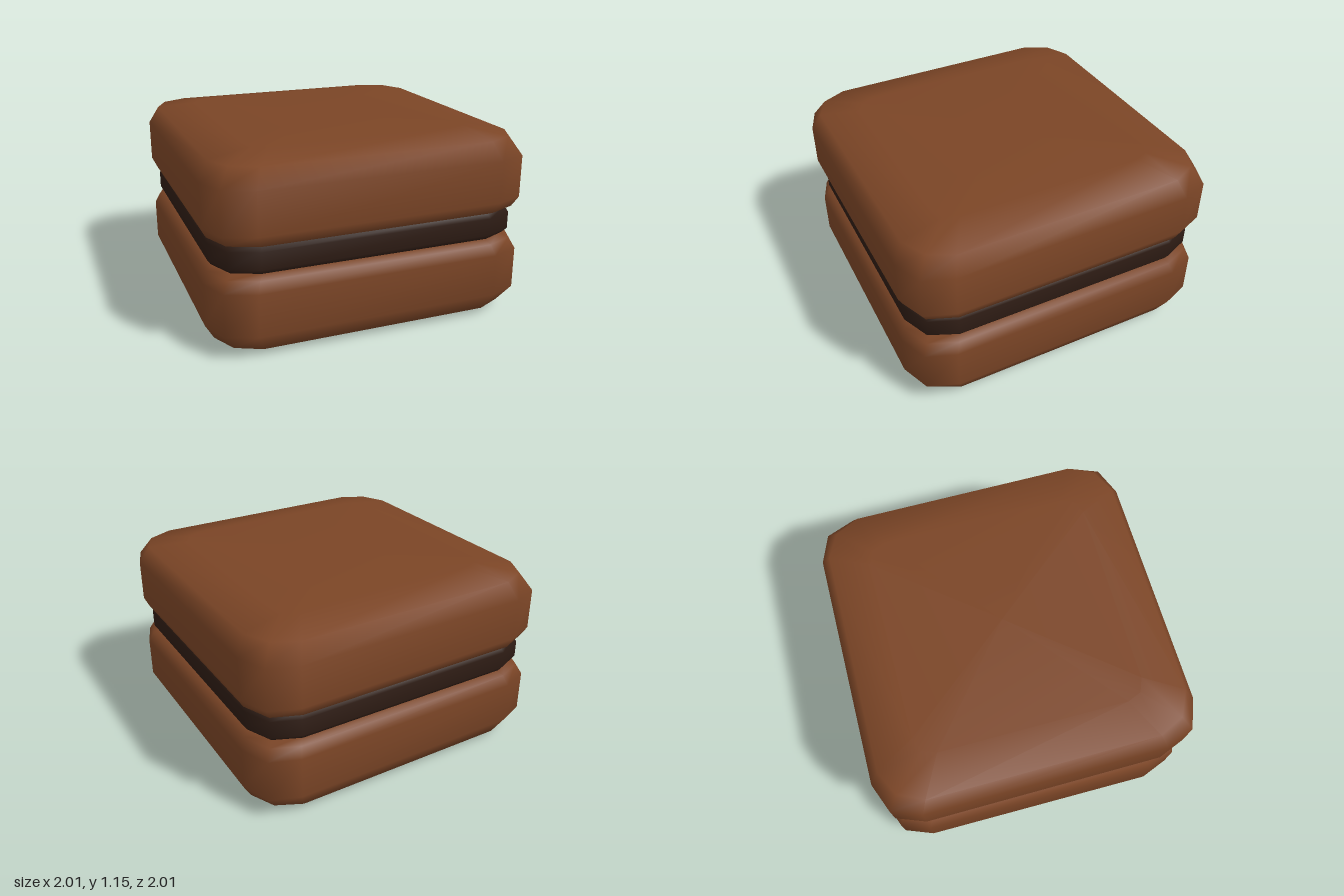
import * as THREE from 'three';

// Square outline with chamfered corners: h half width, c corner length, d corner inset
function outline(h, c, d) {
  const corner = [[h, h - c], [h - d, h - d], [h - c, h]];
  const points = [];
  for (let k = 0; k < 4; k++) {
    for (const [x, z] of corner) {
      points.push([[x, z], [-z, x], [-x, -z], [z, -x]][k]);
    }
  }
  return points;
}

// Closed smooth slab skinned over stacked outlines, listed bottom to top as [y, h, c, d]
function slab(name, rings, color) {
  const positions = [];
  const index = [];
  const n = 12;
  for (const [y, h, c, d] of rings) {
    for (const [x, z] of outline(h, c, d)) positions.push(x, y, z);
  }
  const bottom = rings.length * n;
  const top = bottom + 1;
  positions.push(0, rings[0][0], 0, 0, rings[rings.length - 1][0], 0);
  for (let i = 0; i < n; i++) {
    const k = (i + 1) % n;
    for (let j = 0; j < rings.length - 1; j++) {
      const a = j * n + i, b = j * n + k;
      index.push(a, a + n, b, b, a + n, b + n);
    }
    const last = (rings.length - 1) * n;
    index.push(bottom, i, k, top, last + k, last + i);
  }
  const geometry = new THREE.BufferGeometry();
  geometry.setAttribute('position', new THREE.Float32BufferAttribute(positions, 3));
  geometry.setIndex(index);
  geometry.computeVertexNormals();
  const mesh = new THREE.Mesh(geometry, new THREE.MeshStandardMaterial({ color }));
  mesh.name = name;
  return mesh;
}

export function createModel() {
  const group = new THREE.Group();
  group.name = 'sandwichCookie';
  const height = 1.155;

  // Biscuit profile, from the outer face to the face on the filling
  const biscuit = [
    [0, 0.7, 0.12, 0.035],
    [0.04, 0.94, 0.23, 0.075],
    [0.15, 1, 0.25, 0.07],
    [0.41, 1, 0.25, 0.07],
    [0.475, 0.97, 0.24, 0.07],
    [0.5, 0.92, 0.22, 0.065],
  ];
  const flipped = biscuit.map(([y, ...rest]) => [height - y, ...rest]).reverse();
  const brown = 0x7b4526;
  const upper = slab('upperBiscuit', flipped, brown);
  upper.rotation.y = 0.006;
  group.add(slab('lowerBiscuit', biscuit, brown), upper);

  // Dark filling, slightly narrower than the biscuits
  group.add(slab('filling', [
    [0.49, 0.9, 0.22, 0.065],
    [0.505, 0.94, 0.23, 0.07],
    [0.535, 0.96, 0.24, 0.07],
    [0.64, 0.96, 0.24, 0.07],
    [0.67, 0.94, 0.23, 0.07],
    [0.685, 0.9, 0.22, 0.065],
  ], 0x2e1c14));

  return group;
}
